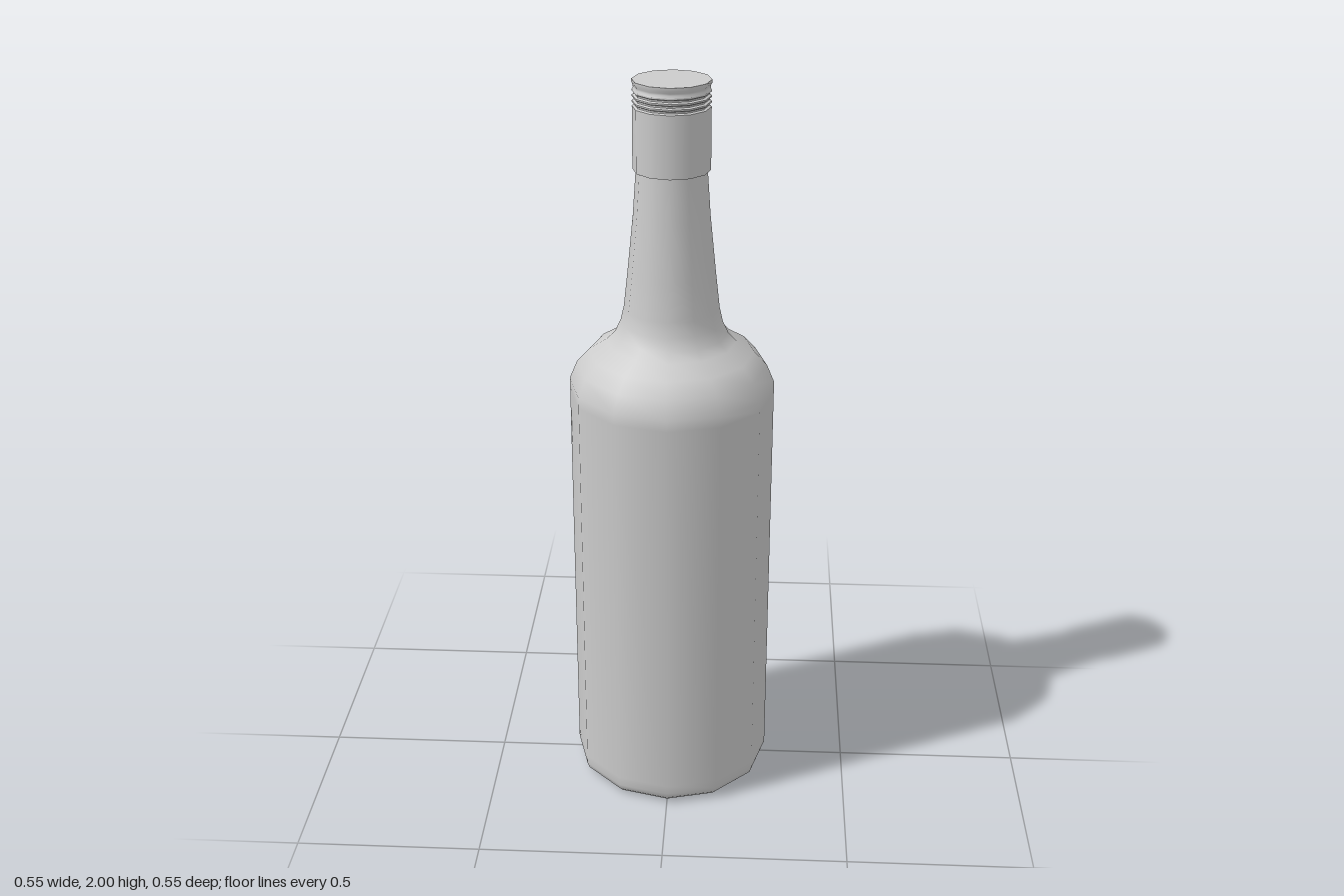
import * as THREE from 'three';
import { mergeGeometries } from 'three/addons/utils/BufferGeometryUtils.js';

const SIDES = 12;

// Revolves each [radius, height] strip; strips meet in a sharp edge, each is smooth inside.
function turned(name, strips) {
  const parts = strips.map((strip) =>
    new THREE.LatheGeometry(strip.map(([r, y]) => new THREE.Vector2(r, y)), SIDES));
  const mesh = new THREE.Mesh(
    mergeGeometries(parts),
    new THREE.MeshStandardMaterial({ color: 0xcccccc })
  );
  mesh.name = name;
  return mesh;
}

export function createModel() {
  const group = new THREE.Group();
  group.name = 'bottle';

  // Glass: slightly hollow base, straight body, round shoulder, tapering neck
  group.add(turned('glassBody', [
    [[0, 0.02], [0.2, 0.012], [0.235, 0]],
    [
      [0.235, 0], [0.255, 0.005], [0.268, 0.018], [0.274, 0.035],
      [0.274, 0.06], [0.274, 1.16], [0.274, 1.19],
      [0.254, 1.238], [0.22, 1.275], [0.172, 1.305], [0.15, 1.328],
      [0.135, 1.36], [0.126, 1.4], [0.115, 1.5], [0.1, 1.65], [0.091, 1.78],
    ],
  ]));

  // Cap skirt
  group.add(turned('capSkirt', [
    [[0.088, 1.77], [0.1, 1.77]],
    [[0.1, 1.77], [0.1, 1.932]],
  ]));

  // Ridged rings below the cap top
  const ridges = [[0.1, 1.932]];
  for (let i = 0; i < 3; i++) {
    const y = 1.932 + i * 0.014;
    ridges.push([0.094, y + 0.003], [0.094, y + 0.007], [0.1, y + 0.01], [0.1, y + 0.014]);
  }
  group.add(turned('capRidges', ridges.slice(1).map((p, i) => [ridges[i], p])));

  // Cap top with a flat disc
  group.add(turned('capTop', [
    [[0.1, 1.974], [0.097, 1.98], [0.097, 1.985], [0.101, 1.992], [0.101, 2]],
    [[0.101, 2], [0, 2]],
  ]));

  return group;
}
